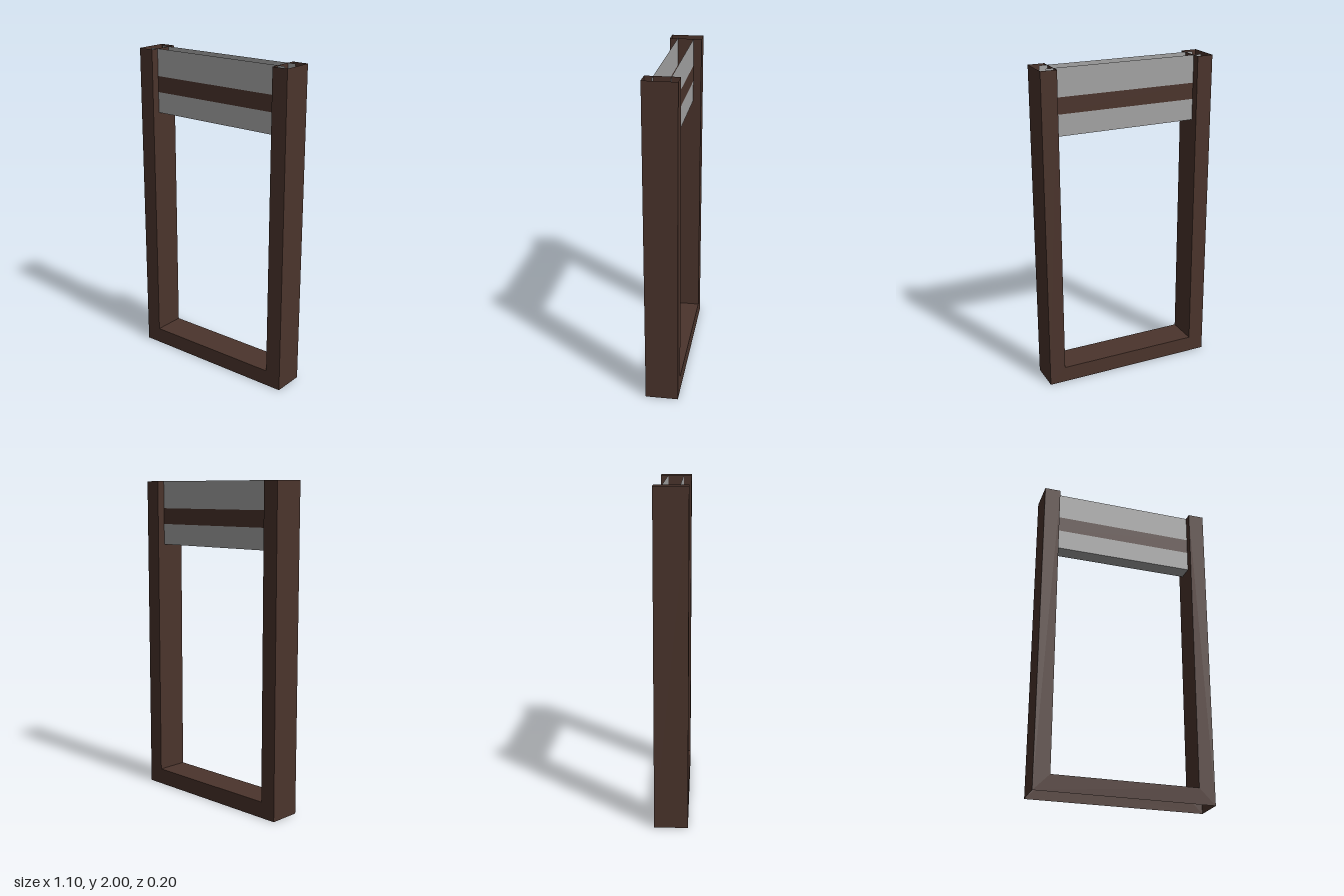
import * as THREE from 'three';

const W = 0.55, IN = 0.45, MID = 0.5, D = 0.1, H = 2, SILL = 0.1; // frame sizes
const GATE_D = 0.05, GATE_Y = 1.6, BAND = [1.73, 1.83];

const brown = new THREE.MeshStandardMaterial({ color: 0x4b342c, side: THREE.DoubleSide });
brown.name = 'darkBrownWood';
const grey = new THREE.MeshStandardMaterial({ color: 0xa4a4a4, side: THREE.DoubleSide });
grey.name = 'greyPanel';

function add(parent, name, geometry, material) {
  const mesh = new THREE.Mesh(geometry, material);
  mesh.name = name;
  parent.add(mesh);
  return mesh;
}

// Upright sheet across x, facing +z or -z
function sheetZ(parent, name, material, halfWidth, y0, y1, z) {
  const m = add(parent, name, new THREE.PlaneGeometry(halfWidth * 2, y1 - y0), material);
  m.position.set(0, (y0 + y1) / 2, z);
  if (z < 0) m.rotation.y = Math.PI;
}

// Upright sheet across z, facing the given x direction
function sheetX(parent, name, material, x, y0, y1, facing) {
  const m = add(parent, name, new THREE.PlaneGeometry(D * 2, y1 - y0), material);
  m.position.set(x, (y0 + y1) / 2, 0);
  m.rotation.y = facing * Math.PI / 2;
}

// Level sheet, facing up or down
function sheetY(parent, name, material, halfWidth, halfDepth, y, facing) {
  const m = add(parent, name, new THREE.PlaneGeometry(halfWidth * 2, halfDepth * 2), material);
  m.position.y = y;
  m.rotation.x = -facing * Math.PI / 2;
}

export function createModel() {
  const model = new THREE.Group();
  model.name = 'slidingGate';

  // Hollow U-shaped frame, open above the posts and below the sill
  const frame = new THREE.Group();
  frame.name = 'frame';
  const outline = new THREE.Shape([
    [-W, 0], [W, 0], [W, H], [IN, H], [IN, SILL], [-IN, SILL], [-IN, H], [-W, H],
  ].map(([x, y]) => new THREE.Vector2(x, y)));
  for (const s of [1, -1]) {
    const face = add(frame, s > 0 ? 'frameFront' : 'frameBack', new THREE.ShapeGeometry(outline), brown);
    face.position.z = s * D;
    if (s < 0) face.rotation.y = Math.PI;
    const side = s > 0 ? 'left' : 'right';
    sheetX(frame, side + 'PostOuterWall', brown, s * W, 0, H, s);
    sheetX(frame, side + 'PostInnerWall', brown, s * IN, SILL, H, -s);
  }
  sheetY(frame, 'sillTop', brown, MID, D, SILL, 1);
  model.add(frame);

  // Raised hollow gate, open at its top and ends, with a brown band
  const gate = new THREE.Group();
  gate.name = 'gate';
  for (const z of [GATE_D, -GATE_D]) {
    const side = z > 0 ? 'front' : 'back';
    sheetZ(gate, side + 'LowerPanel', grey, MID, GATE_Y, BAND[0], z);
    sheetZ(gate, side + 'Band', brown, MID, BAND[0], BAND[1], z);
    sheetZ(gate, side + 'UpperPanel', grey, MID, BAND[1], H, z);
  }
  sheetY(gate, 'gateBottom', grey, MID, GATE_D, GATE_Y, -1);
  model.add(gate);

  return model;
}
